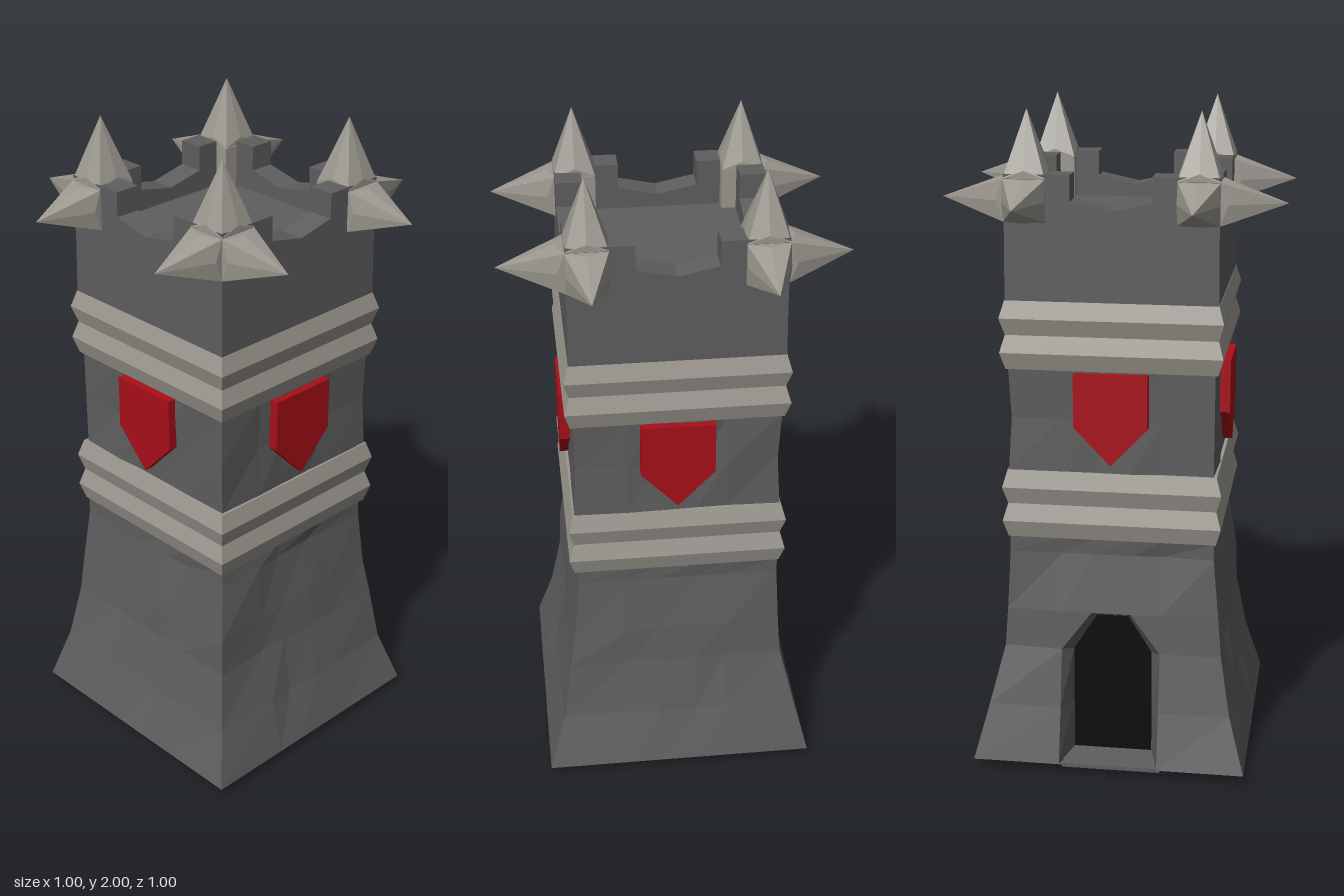
import * as THREE from 'three';

const mat = (color) => new THREE.MeshStandardMaterial({ color, flatShading: true, side: THREE.DoubleSide });
const STONE = mat(0x5e5e5e), TRIM = mat(0x9c9890), RED = mat(0xa80f19), DARK = mat(0x0c0c0c);

function add(parent, name, geometry, material) {
  const mesh = new THREE.Mesh(geometry, material);
  mesh.name = name;
  parent.add(mesh);
  return mesh;
}

// Geometry from a list of triangles (each three Vector3)
function fromTriangles(tris) {
  const g = new THREE.BufferGeometry().setFromPoints(tris.flat());
  g.computeVertexNormals();
  return g;
}

const V = (x, y, z) => new THREE.Vector3(x, y, z);
const quad = (a, b, c, d) => [[a, b, c], [a, c, d]];

// Seeded noise in 0..1
const noise = (a, b, c) => {
  const s = Math.sin(a * 12.99 + b * 78.23 + c * 37.72) * 43758.55;
  return s - Math.floor(s);
};

// Wall rows: [height, half width]
const ROWS = [[0.03, 0.415], [0.2, 0.373], [0.38, 0.338], [0.5, 0.33], [0.68, 0.31], [0.73, 0.311],
  [0.94, 0.313], [1.1, 0.31], [1.25, 0.313], [1.46, 0.312], [1.6, 0.31], [1.68, 0.31]];
const COLS = [-0.15, -0.06, 0.06, 0.15];

// One wall facing +z, made of slightly uneven stones; k is the quarter turn
function wall(k, door) {
  const corner = (j, i) => {
    const chip = j === 0 || j > 8 ? 0 : 0.012 * noise(i % 4, j, 5);
    return ROWS[j][1] - chip;
  };
  const grid = ROWS.map(([y, h], j) => {
    const l = corner(j, k + 3), r = corner(j, k);
    const inner = COLS.map((x, i) => {
      const flat = j === 0 || j > 8 || (door && j < 4);
      return V(x, y, h - (flat ? 0 : 0.012 * noise(i + 1, j, k + 2)));
    });
    return [V(-l, y, l), ...inner, V(r, y, r)];
  });
  const tris = [];
  for (let j = 0; j < ROWS.length - 1; j++) {
    for (let i = 0; i < 5; i++) {
      const a = grid[j][i], b = grid[j][i + 1], c = grid[j + 1][i + 1], d = grid[j + 1][i];
      if (door && i > 0 && i < 4 && j < 3) {
        // Chamfered shoulders of the doorway
        if (j === 2 && i === 1) tris.push([a, c, d]);
        if (j === 2 && i === 3) tris.push([b, c, d]);
        continue;
      }
      tris.push(...quad(a, b, c, d));
    }
  }
  return { geometry: fromTriangles(tris), grid };
}

// Spike pointing along +y, square at the root with a ridge on every side
function spikeGeometry(r, root, shoulder, tip) {
  const ring = [];
  for (let i = 0; i < 8; i++) {
    const a = i * Math.PI / 4, mid = i % 2 === 0;
    const d = mid ? r : r * Math.SQRT2;
    ring.push(V(d * Math.cos(a), mid ? shoulder : root, -d * Math.sin(a)));
  }
  const tris = [];
  for (let i = 0; i < 8; i++) {
    tris.push([ring[i], ring[(i + 1) % 8], V(0, tip, 0)]);
    if (i % 2) tris.push([ring[i], ring[(i + 2) % 8], ring[(i + 1) % 8]]);
  }
  return fromTriangles(tris);
}

// Square ridged hoop around the tower
function bandGeometry(y0, y1) {
  const tris = [];
  const prof = [0.295, 0.313, 0.328, 0.313, 0.328, 0.313, 0.295];
  const ys = [0, 0, 0.25, 0.5, 0.75, 1, 1].map((t) => y0 + t * (y1 - y0));
  const at = (j, k) => V(...[[1, 1], [1, -1], [-1, -1], [-1, 1]][k % 4].flatMap((s, i) =>
    (i ? [ys[j], s * prof[j]] : [s * prof[j]])));
  for (let j = 0; j < 6; j++) {
    for (let k = 0; k < 4; k++) tris.push(...quad(at(j, k), at(j, k + 1), at(j + 1, k + 1), at(j + 1, k)));
  }
  return fromTriangles(tris);
}

const shapeOf = (pts) => new THREE.Shape(pts.map(([x, y]) => new THREE.Vector2(x, y)));

export function createModel() {
  const tower = new THREE.Group();
  tower.name = 'tower';

  const parapet = new THREE.ExtrudeGeometry(shapeOf([[-0.31, 1.68], [0.31, 1.68], [0.31, 1.82], [0.118, 1.82],
    [0.118, 1.745], [0, 1.72], [-0.118, 1.745], [-0.118, 1.82], [-0.31, 1.82]]), { depth: 0.078, bevelEnabled: false });
  parapet.translate(0, 0, 0.232);
  const shield = new THREE.ExtrudeGeometry(shapeOf([[-0.11, 1.245], [-0.11, 1.085], [0, 0.97], [0.11, 1.085],
    [0.11, 1.245]]), { depth: 0.035, bevelEnabled: false });
  shield.translate(0, 0, 0.298);

  // Four sides; the doorway is in the back one
  for (let k = 0; k < 4; k++) {
    const side = new THREE.Group();
    side.name = ['frontSide', 'leftSide', 'backSide', 'rightSide'][k];
    side.rotation.y = k * Math.PI / 2;
    tower.add(side);
    const { geometry, grid } = wall(k, k === 2);
    add(side, 'wall', geometry, STONE);
    add(side, 'parapet', parapet, STONE);
    add(side, 'shield', shield, RED);
    if (k === 2) {
      // Door reveal running inwards to a dark door
      const outline = [grid[0][1], grid[1][1], grid[2][1], grid[3][2], grid[3][3], grid[2][4], grid[1][4], grid[0][4]];
      const back = outline.map((p) => V(p.x * 0.8, p.y * 0.96, 0.29));
      const reveal = [];
      for (let i = 0; i < 7; i++) reveal.push(...quad(outline[i], back[i], back[i + 1], outline[i + 1]));
      add(side, 'doorReveal', fromTriangles(reveal), STONE);
      const door = new THREE.ShapeGeometry(shapeOf(back.map((p) => [p.x, p.y])));
      add(side, 'door', door.translate(0, 0, 0.291), DARK);
      // Sloping threshold under the door
      const sill = new THREE.ExtrudeGeometry(shapeOf([[0.29, 0], [0.413, 0.022], [0.413, 0.034], [0.29, 0.034]]),
        { depth: 0.3, bevelEnabled: false });
      sill.rotateY(-Math.PI / 2).translate(0.16, 0, 0);
      add(side, 'threshold', sill, STONE);
    }
  }

  // Underside and roof floor
  add(tower, 'underside', new THREE.PlaneGeometry(0.83, 0.83).rotateX(Math.PI / 2), STONE).position.y = 0.03;
  add(tower, 'roofFloor', new THREE.PlaneGeometry(0.62, 0.62).rotateX(-Math.PI / 2), STONE).position.y = 1.68;

  // Ridged hoops
  add(tower, 'lowerBand', bandGeometry(0.73, 0.94), TRIM);
  add(tower, 'upperBand', bandGeometry(1.25, 1.455), TRIM);

  // Spiked blocks on the four top corners
  const spike = spikeGeometry(0.061, 0.061, 0.083, 0.25);
  for (let k = 0; k < 4; k++) {
    const block = new THREE.Group();
    block.name = 'cornerSpikes';
    block.position.set(k % 2 ? 0.25 : -0.25, 1.745, k < 2 ? 0.25 : -0.25);
    block.rotation.y = [-Math.PI / 2, 0, Math.PI, Math.PI / 2][k];
    add(block, 'block', new THREE.BoxGeometry(0.122, 0.122, 0.122), TRIM);
    add(block, 'topSpike', spike, TRIM).scale.y = 1.02;
    add(block, 'sideSpike', spike, TRIM).rotation.z = -Math.PI / 2;
    add(block, 'sideSpike', spike, TRIM).rotation.x = Math.PI / 2;
    tower.add(block);
  }
  return tower;
}
